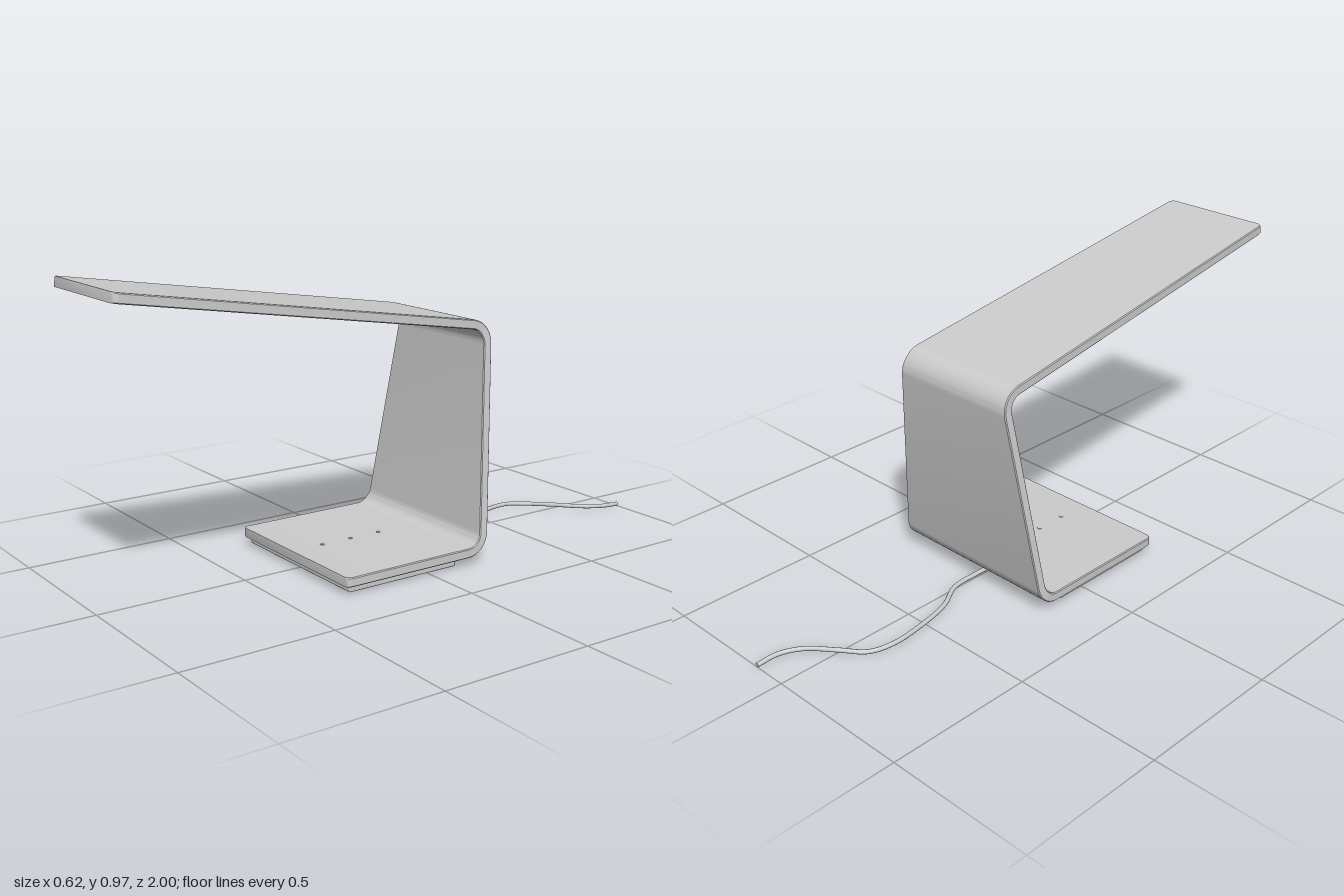
import * as THREE from 'three';
import { toCreasedNormals } from 'three/addons/utils/BufferGeometryUtils.js';
import { RoundedBoxGeometry } from 'three/addons/geometries/RoundedBoxGeometry.js';

const T = 0.0155; // half thickness of the bent sheet
const R = 0.018;  // plan radius of the free corners
const V = (z, y) => new THREE.Vector2(z, y);

// Side profile centreline (z, y): base front, lower bend, upper bend, arm tip
const corners = [V(0.323, 0.044), V(-0.203, 0.044), V(-0.283, 0.754), V(0.9975, 0.956)];
const armY = z => 0.754 + (z + 0.283) * (0.202 / 1.2805);

// Half width: constant base, tapering riser, gently tapering arm
function halfWidth(p, onArm) {
  if (onArm) return THREE.MathUtils.mapLinear(p.x, -0.283, 1, 0.223, 0.2);
  return 0.31 - 0.127 * Math.max(0, Math.min(p.y, 0.745) - 0.06);
}

// Stations along the sheet, each with point, tangent and half width
function stations() {
  const list = [];
  const dir = i => corners[i + 1].clone().sub(corners[i]).normalize();
  const add = (p, t, w) => list.push({ p, t, w });
  const roundedEnd = (end, inward, tangent, w, order) => order.forEach(k => {
    const a = k / 5 * Math.PI / 2;
    const p = end.clone().addScaledVector(inward, R * (1 - Math.cos(a)));
    add(p, tangent, w - R * (1 - Math.sin(a)));
  });
  roundedEnd(corners[0], dir(0), dir(0), 0.31, [0, 1, 2, 3, 4, 5]);
  for (const i of [1, 2]) {
    const len = 0.058, c = corners[i], d0 = dir(i - 1), d1 = dir(i);
    const at = (d, s) => c.clone().addScaledVector(d, s);
    const bend = new THREE.CubicBezierCurve(at(d0, -len), at(d0, -len * 0.45), at(d1, len * 0.45), at(d1, len));
    for (let k = 0; k <= 14; k++) {
      const p = bend.getPoint(k / 14);
      add(p, bend.getTangent(k / 14), halfWidth(p, i === 2 && k > 10));
    }
  }
  roundedEnd(corners[3], dir(2).negate(), dir(2), 0.2, [5, 4, 3, 2, 1, 0]);
  return list;
}

// Loft a lightly chamfered rectangle along the stations
function sheetGeometry() {
  const c = 0.003, pos = [], idx = [], list = stations(), n = 8;
  for (const { p, t, w } of list) {
    const ring = [[w, -T + c], [w, T - c], [w - c, T], [-w + c, T], [-w, T - c], [-w, -T + c], [-w + c, -T], [w - c, -T]];
    for (const [x, s] of ring) pos.push(x, p.y + t.x * s, p.x - t.y * s);
  }
  for (let i = 0; i < list.length - 1; i++) {
    for (let j = 0; j < n; j++) {
      const a = i * n + j, b = i * n + (j + 1) % n;
      idx.push(a, b, b + n, a, b + n, a + n);
    }
  }
  const last = (list.length - 1) * n;
  for (let k = 1; k < n - 1; k++) {
    idx.push(0, k + 1, k);
    idx.push(last, last + k, last + k + 1);
  }
  const g = new THREE.BufferGeometry();
  g.setAttribute('position', new THREE.Float32BufferAttribute(pos, 3));
  g.setIndex(idx);
  return toCreasedNormals(g, 0.5);
}

export function createModel() {
  const model = new THREE.Group();
  model.name = 'deskLamp';
  const grey = new THREE.MeshStandardMaterial({ color: 0xcccccc });
  const part = (name, geometry, parent = model) => {
    const m = new THREE.Mesh(geometry, grey);
    m.name = name;
    parent.add(m);
    return m;
  };

  // One bent sheet forms base, riser and arm
  part('bentBody', sheetGeometry());

  // Foot pad under the base
  part('footPad', new RoundedBoxGeometry(0.58, 0.021, 0.41, 3, 0.004)).position.set(0, 0.0155, 0.1);
  part('padSpacer', new THREE.BoxGeometry(0.55, 0.006, 0.38)).position.set(0, 0.027, 0.1);

  // Lights set in the underside of the arm
  const lights = new THREE.Group();
  lights.name = 'lights';
  model.add(lights);
  const slope = Math.atan2(0.202, 1.2805);
  const lightGeo = new THREE.CylinderGeometry(0.016, 0.014, 0.006, 24);
  const spots = [[0, 0.33], [0, 0.56], [0, 0.79]];
  for (const z of [0.45, 0.68, 0.92]) spots.push([-0.085, z], [0.085, z]);
  for (const [x, z] of spots) {
    const m = part('light', lightGeo, lights);
    m.position.set(x, armY(z) - T / Math.cos(slope) - 0.001, z);
    m.rotation.x = -slope;
  }

  // Touch buttons on the base
  for (const z of [0.21, 0.1, -0.01]) {
    part('touchButton', new THREE.CylinderGeometry(0.007, 0.007, 0.004, 20)).position.set(0, 0.0595, z);
  }

  // Power cable trailing behind
  const path = [
    [0, 0.014, -0.09], [0, 0.014, -0.2], [-0.004, 0.013, -0.3], [-0.056, 0.011, -0.4],
    [-0.088, 0.013, -0.53], [-0.1, 0.015, -0.65], [-0.073, 0.01, -0.725], [0, 0.013, -0.79],
    [0.075, 0.014, -0.855], [0.112, 0.012, -0.925], [0.116, 0.008, -1],
  ].map(a => new THREE.Vector3(...a));
  const curve = new THREE.CatmullRomCurve3(path);
  part('powerCable', new THREE.TubeGeometry(curve, 90, 0.0075, 10));
  const cap = part('cableEnd', new THREE.CircleGeometry(0.0075, 10));
  cap.position.copy(path[path.length - 1]);
  cap.rotation.y = Math.PI;

  return model;
}
